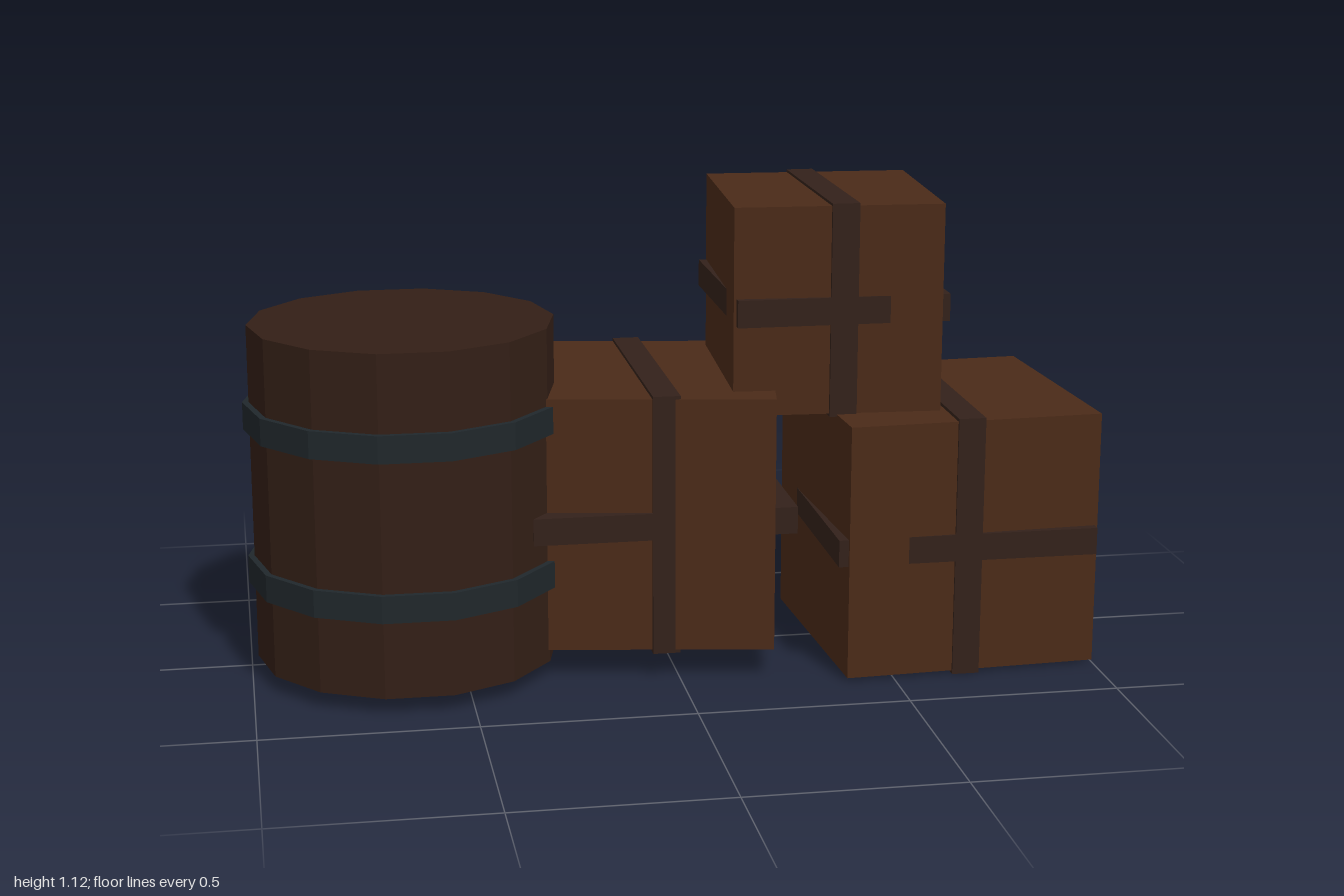
import * as THREE from 'three';

const paint = (color) => new THREE.MeshStandardMaterial({ color, flatShading: true });
const wood = paint(0x4a2a18);
const strapWood = paint(0x33211a);
const barrelWood = paint(0x331f16);
const iron = paint(0x20272b);

function part(name, geometry, material, x = 0, y = 0, z = 0) {
  const mesh = new THREE.Mesh(geometry, material);
  mesh.name = name;
  mesh.position.set(x, y, z);
  return mesh;
}

// Cube turned about y, crossed by two straps that stay square to the axes
function crate(name, size, turn, x, y, z) {
  const group = new THREE.Group();
  group.name = name;
  group.position.set(x, y, z);
  const box = part('crateBox', new THREE.BoxGeometry(size, size, size), wood);
  box.rotation.y = turn;
  const s = size * 1.025;
  const w = 0.065;
  group.add(
    box,
    part('verticalStrap', new THREE.BoxGeometry(w, s, s), strapWood),
    part('horizontalStrap', new THREE.BoxGeometry(s, w, s), strapWood),
  );
  return group;
}

// Straight 14-sided barrel with two iron hoops
function barrel(x, z) {
  const sides = 14;
  const drum = (r, h) => new THREE.CylinderGeometry(r, r, h, sides, 1, false, Math.PI / sides);
  const group = new THREE.Group();
  group.name = 'barrel';
  group.position.set(x, 0, z);
  group.add(part('barrelBody', drum(0.359, 0.808), barrelWood, 0, 0.444, 0));
  for (const y of [0.258, 0.632]) group.add(part('hoop', drum(0.374, 0.065), iron, 0, y, 0));
  return group;
}

export function createModel() {
  const model = new THREE.Group();
  model.name = 'barrelAndCrates';
  model.add(
    barrel(-0.626, 0.043),
    crate('middleCrate', 0.612, -0.165, -0.031, 0.376, -0.06),
    crate('leftCrate', 0.613, 0.05, 0.677, 0.315, 0.028),
    crate('topCrate', 0.495, -0.053, 0.395, 0.87, -0.03),
  );
  return model;
}
